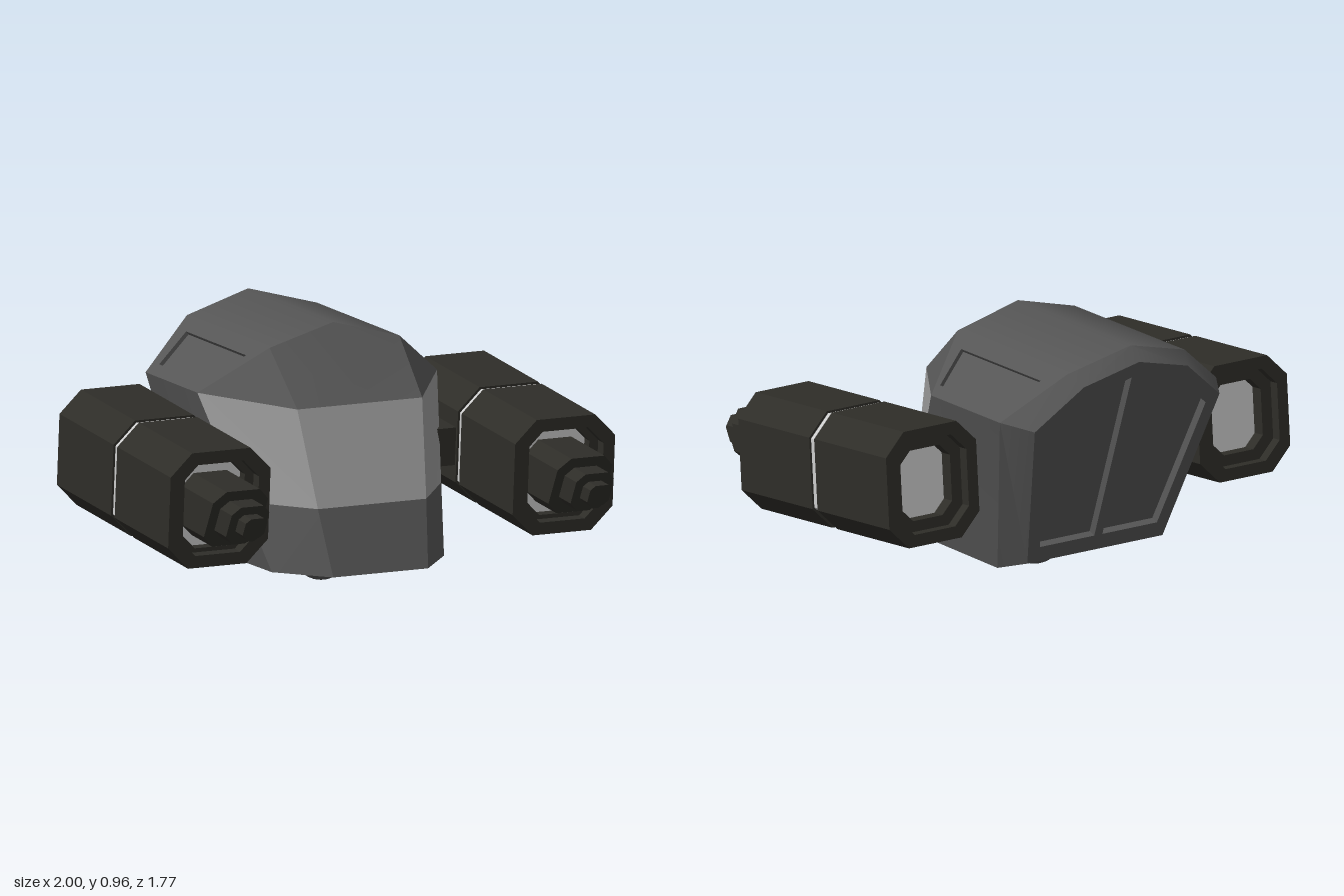
import * as THREE from 'three';
import { toCreasedNormals } from 'three/addons/utils/BufferGeometryUtils.js';

const mat = (color) => new THREE.MeshStandardMaterial({ color });
const hullMat = mat(0x555555), windowMat = mat(0x999999), gunMat = mat(0x2e2d28), lightMat = mat(0xcccccc);
const V = (x, y, z) => new THREE.Vector3(x, y, z);
const CENTRE = V(0, 0.5, 0);

function mesh(name, geometry, material) {
  const m = new THREE.Mesh(geometry, material);
  m.name = name;
  return m;
}

// Collects faces of the +x half and mirrors each one to -x
class MirrorBuilder {
  constructor() { this.p = []; }
  raw(pts) {
    for (let i = 1; i < pts.length - 1; i++) {
      const t = [pts[0], pts[i], pts[i + 1]];
      t.forEach((v) => this.p.push(v.x, v.y, v.z));
      t.reverse().forEach((v) => this.p.push(-v.x, v.y, v.z));
    }
  }
  normal(pts) {
    return V().crossVectors(V().subVectors(pts[1], pts[0]), V().subVectors(pts[2], pts[0])).normalize();
  }
  outward(pts) {
    const c = pts.reduce((s, v) => s.add(v), V(0, 0, 0)).divideScalar(pts.length).sub(CENTRE);
    return this.normal(pts).dot(c) > 0;
  }
  face(...pts) { this.raw(this.outward(pts) ? pts : pts.reverse()); }
  band(a, b) {
    a.forEach((v, i) => {
      const j = (i + 1) % a.length;
      this.raw([v, a[j], b[j], b[i]]);
    });
  }
  // Face with a sunken panel
  inset(outer, inner, depth) {
    if (!this.outward(outer)) { outer.reverse(); inner.reverse(); }
    const n = this.normal(outer);
    const floor = inner.map((v) => v.clone().addScaledVector(n, -depth));
    this.band(outer, inner);
    this.band(inner, floor);
    this.raw(floor);
  }
  build() {
    const g = new THREE.BufferGeometry();
    g.setAttribute('position', new THREE.Float32BufferAttribute(this.p, 3));
    return toCreasedNormals(g, 0.53);
  }
}

function makeHull() {
  const group = new THREE.Group();
  group.name = 'hull';
  // Corner points of the +x half
  const ridgeF = V(0, 0.96, 0.1), ridgeB = V(0, 0.96, -0.59);
  const roofF = V(0.26, 0.89, 0.11), roofB = V(0.26, 0.89, -0.56);
  const sideF = V(0.48, 0.72, -0.03), sideB = V(0.48, 0.72, -0.45);
  const browM = V(0, 0.7, 0.315), brow = V(0.25, 0.7, 0.315);
  const sillM = V(0, 0.35, 0.415), sill = V(0.217, 0.35, 0.415), sillS = V(0.398, 0.35, 0.17);
  const footM = V(0, 0.11, 0.485), foot = V(0.19, 0.11, 0.485), footS = V(0.345, 0.11, 0.3);
  const heel = V(0.36, 0.11, -0.27), heelM = V(0, 0.11, -0.27);

  const b = new MirrorBuilder();
  b.face(ridgeF, roofF, roofB, ridgeB);
  // Sloping roof side with sunken panel
  const slope = (x, z) => V(x, 0.89 - (x - 0.26) * 0.773, z);
  b.inset([roofF, roofB, sideB, sideF],
    [slope(0.31, 0.02), slope(0.31, -0.465), slope(0.44, -0.42), slope(0.44, -0.03)], 0.015);
  b.face(ridgeF, roofF, brow, browM);
  b.face(brow, roofF, sideF);
  b.face(sill, sillM, footM, foot);
  b.face(sill, foot, footS, sillS);
  b.face(sideF, sideB, heel, footS, sillS);
  b.face(footM, foot, footS, heel, heelM);
  // Back plate, bevelled out from the hull, with a sunken panel each side
  const back = (x, y) => V(x, y, -0.37 - 0.352 * (y - 0.14));
  const plate = [back(0, 0.91), back(0.23, 0.85), back(0.41, 0.7), back(0.3, 0.14), back(0, 0.14)];
  const edge = [ridgeB, roofB, sideB, heel, heelM];
  for (let i = 0; i < 4; i++) b.face(edge[i], edge[i + 1], plate[i + 1], plate[i]);
  b.inset(plate, [back(0.018, 0.85), back(0.2, 0.8), back(0.355, 0.675), back(0.26, 0.2), back(0.018, 0.2)], 0.03);
  group.add(mesh('shell', b.build(), hullMat));

  // Front window band
  const w = new MirrorBuilder();
  w.face(browM, brow, sill, sillM);
  w.face(brow, sideF, sillS, sill);
  group.add(mesh('frontWindow', w.build(), windowMat));

  const ball = mesh('bottomBall', new THREE.SphereGeometry(0.105, 32, 20), hullMat);
  ball.position.y = 0.105;
  group.add(ball);
  return group;
}

// Octagonal outline: a rectangle with cut corners
function octagon(w, h, c, Type = THREE.Shape) {
  return new Type([[w, h - c], [w - c, h], [c - w, h], [-w, h - c], [-w, c - h], [c - w, -h], [w - c, -h], [w, c - h]]
    .map(([x, y]) => new THREE.Vector2(x, y)));
}

function prism(outer, z0, z1, hole) {
  const shape = octagon(...outer);
  if (hole) shape.holes.push(octagon(...hole, THREE.Path));
  return new THREE.ExtrudeGeometry(shape, { depth: z1 - z0, bevelEnabled: false }).translate(0, 0, z0);
}

function makeGun(side) {
  const gun = new THREE.Group();
  gun.name = side > 0 ? 'leftGun' : 'rightGun';
  const body = [0.2, 0.215, 0.083], hole = [0.155, 0.17, 0.065], throat = [0.11, 0.13, 0.045];
  gun.add(
    mesh('frontCasing', prism(body, 0.02, 0.455, hole), gunMat),
    mesh('rearCasing', prism(body, -0.45, -0.01, hole), gunMat),
    mesh('lightBand', prism([0.192, 0.207, 0.08], -0.01, 0.02), lightMat),
    mesh('rearCollar', prism(hole, -0.41, -0.3, throat), gunMat),
    mesh('rearLamp', prism(throat, -0.36, -0.3), lightMat),
    mesh('frontCollar', prism(hole, 0.3, 0.41, [0.12, 0.155, 0.05]), gunMat),
    mesh('frontLamp', prism([0.12, 0.155, 0.05], 0.3, 0.37), lightMat),
  );
  // Stepped barrel with raked ends
  [[0.11, 0.115, 0.59], [0.075, 0.075, 0.685], [0.043, 0.042, 0.745]].forEach(([w, h, end], i) => {
    const g = prism([w, h, w * 0.4], 0.35, end);
    const p = g.attributes.position;
    for (let k = 0; k < p.count; k++) if (p.getZ(k) > 0.4) p.setZ(k, p.getZ(k) + 0.45 * p.getY(k));
    g.computeVertexNormals();
    gun.add(mesh('barrelStep' + (i + 1), g, gunMat));
  });
  // Mount joining the gun to the hull
  const mount = mesh('mount', new THREE.BoxGeometry(0.16, 0.14, 0.16), gunMat);
  mount.position.set(-side * 0.25, 0, -0.1);
  gun.add(mount);
  gun.position.set(side * 0.69, 0.46, 0.12);
  gun.rotation.x = 0.08;
  return gun;
}

export function createModel() {
  const model = new THREE.Group();
  model.name = 'turret';
  const head = new THREE.Group();
  head.name = 'turretHead';
  head.add(makeHull(), makeGun(1), makeGun(-1));
  head.position.set(0.04, 0, -0.21);
  head.rotation.y = -0.394;
  model.add(head);
  return model;
}
